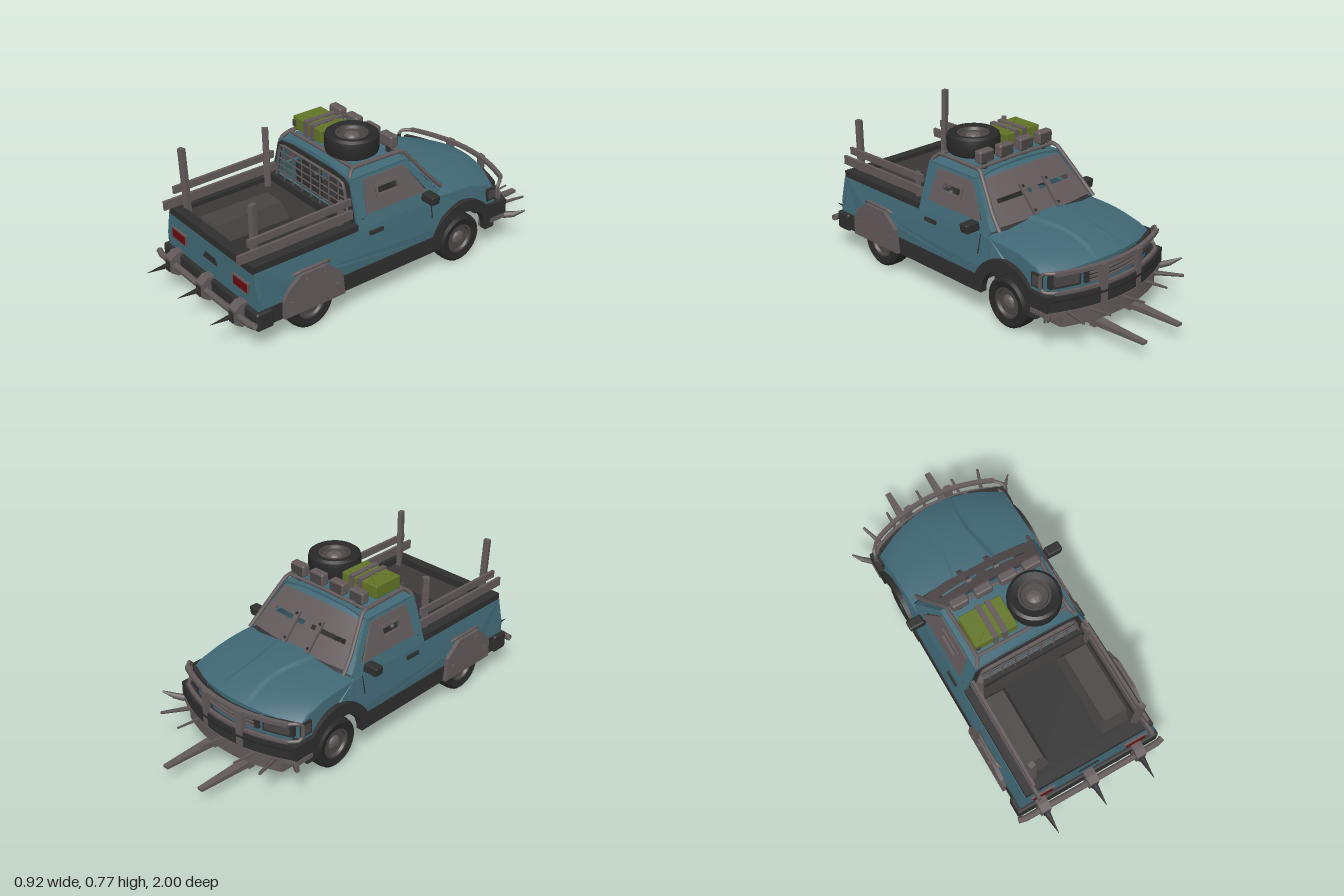
import * as THREE from 'three';
import { toCreasedNormals } from 'three/addons/utils/BufferGeometryUtils.js';
import { RoundedBoxGeometry } from 'three/addons/geometries/RoundedBoxGeometry.js';

const V = (x, y, z) => new THREE.Vector3(x, y, z);
const lerp = THREE.MathUtils.lerp;
const mat = (name, color) => new THREE.MeshStandardMaterial({ name, color, side: THREE.DoubleSide });

export function createModel() {
  const root = new THREE.Group();
  root.name = 'armouredPickup';
  const teal = mat('tealPaint', 0x406875), steel = mat('scrapSteel', 0x625959), dark = mat('darkTrim', 0x2e2e2e);
  const rubber = mat('rubber', 0x282828), red = mat('tailRed', 0x680a0e), green = mat('canGreen', 0x627426), liner = mat('greyLiner', 0x494444);

  const add = (name, geo, m, x = 0, y = 0, z = 0, parent = root) => {
    const mesh = new THREE.Mesh(geo, m);
    mesh.name = name;
    mesh.position.set(x, y, z);
    parent.add(mesh);
    return mesh;
  };
  const box = (name, m, w, h, d, x, y, z, p) => add(name, new THREE.BoxGeometry(w, h, d), m, x, y, z, p);
  // straight bar between two points
  const beam = (name, m, a, b, w, h) => box(name, m, w, h, a.distanceTo(b), (a.x + b.x) / 2, (a.y + b.y) / 2, (a.z + b.z) / 2).lookAt(b);
  const tube = (name, m, pts, r) => add(name, new THREE.TubeGeometry(new THREE.CatmullRomCurve3(pts, false, 'catmullrom', 0.2), 24, r, 8), m);
  // tapered spike from a to b
  const spike = (name, m, a, b, r, tip = 0.35) => {
    const c = add(name, new THREE.CylinderGeometry(r * tip, r, a.distanceTo(b), 4), m, (a.x + b.x) / 2, (a.y + b.y) / 2, (a.z + b.z) / 2);
    c.quaternion.setFromUnitVectors(V(0, 1, 0), b.clone().sub(a).normalize());
  };
  const move = (geo, f) => {
    const p = geo.attributes.position, v = V(0, 0, 0);
    for (let i = 0; i < p.count; i++) { v.fromBufferAttribute(p, i); f(v); p.setXYZ(i, v.x, v.y, v.z); }
    geo.computeVertexNormals();
    return geo;
  };
  const grid = (nu, nv, f) => move(new THREE.PlaneGeometry(1, 1, nu, nv), v => f(v.x + 0.5, v.y + 0.5, v));
  const poly = pts => new THREE.Shape(pts.map(p => new THREE.Vector2(p[0], p[1])));
  const hole = (shape, pts) => { shape.holes.push(new THREE.Path(pts.map(p => new THREE.Vector2(p[0], p[1])))); return shape; };
  const rect = (a, b, c, d) => [[a, b], [c, b], [c, d], [a, d]];
  const slab = (shape, depth) => new THREE.ExtrudeGeometry(shape, { depth, bevelEnabled: false, curveSegments: 16 });

  // half-width of the body at a height
  const bodyX = y => y < 0.27 ? 0.37 : y < 0.39 ? lerp(0.37, 0.345, (y - 0.27) / 0.12) : lerp(0.345, 0.265, (y - 0.39) / 0.25);
  // side panel drawn in (-z, y), following the body width, on both sides
  const sidePanel = (name, shape, m, depth, out = 0) => [1, -1].forEach(s => {
    const g = slab(shape, depth).rotateY(Math.PI / 2);
    add(name, move(g, v => { v.x = s * (bodyX(v.y) + out - depth + v.x); }), m);
  });
  // box bent to the curve of the nose
  const bent = (name, m, w, h, d, x, y, z) => add(name, toCreasedNormals(move(
    new THREE.BoxGeometry(w, h, d, 16).translate(x, y, z), v => { v.z += 0.7 * v.x * v.x; }), 0.6), m);

  // lower body sides with wheel openings
  const R = 0.16, a0 = Math.asin(0.07 / R), side = new THREE.Shape();
  side.moveTo(-0.81, 0.2);
  [-0.52, 0.385].forEach(u => {
    side.lineTo(u - R * Math.cos(a0), 0.2);
    side.absarc(u, 0.13, R, Math.PI - a0, a0, true);
  });
  [[0.605, 0.2], [0.605, 0.33], [0.55, 0.36], [0.45, 0.388], [0.25, 0.4], [-0.235, 0.4], [-0.235, 0.39], [-0.81, 0.39]].forEach(p => side.lineTo(p[0], p[1]));
  sidePanel('bodySide', side, teal, 0.015);

  // hood with raised, creased centre, and nose
  const noseZ = x => -0.7 + 0.8 * x * x;
  const hoodY = (x, v) => {
    const c = 0.09 + 0.02 * Math.cos(v * 5);
    return 0.437 - 0.3 * x * x - 0.07 * v ** 3 + 0.012 * THREE.MathUtils.clamp((c + 0.014 - Math.abs(x)) / 0.014, 0, 1) * (1 - v ** 4);
  };
  add('hood', grid(110, 16, (u, t, v) => { const x = (u - 0.5) * 0.692; v.set(x, hoodY(x, t), lerp(-0.22, noseZ(x), t)); }), teal);
  add('nose', grid(24, 4, (u, t, v) => { const x = (u - 0.5) * lerp(0.74, 0.692, t); v.set(x, lerp(0.19, hoodY(x, 1), t), noseZ(x)); }), teal);

  // cab sides, window armour with vision slit
  sidePanel('cabSide', hole(poly([[-0.235, 0.39], [0.25, 0.4], [0.25, 0.43], [0.1, 0.622], [-0.225, 0.622]]),
    [[-0.17, 0.45], [0.19, 0.45], [0.078, 0.605], [-0.16, 0.605]]), teal, 0.015);
  sidePanel('windowArmour', hole(poly([[-0.178, 0.452], [0.18, 0.452], [0.077, 0.605], [-0.162, 0.605]]), rect(-0.095, 0.52, 0.02, 0.555)), steel, 0.008, 0.006);
  sidePanel('slitFrame', hole(poly(rect(-0.11, 0.508, 0.035, 0.567)), rect(-0.095, 0.52, 0.02, 0.555)), steel, 0.008, 0.012);
  sidePanel('doorHandle', poly(rect(-0.18, 0.355, -0.1, 0.372)), dark, 0.01, 0.008);
  sidePanel('doorSeamRear', poly(rect(-0.204, 0.21, -0.199, 0.44)), dark, 0.004, 0.001);
  sidePanel('doorSeamFront', poly(rect(0.195, 0.31, 0.2, 0.4)), dark, 0.004, 0.001);

  // crowned roof
  add('roof', toCreasedNormals(move(new THREE.BoxGeometry(0.545, 0.024, 0.325, 16, 1, 1).translate(0, 0.638, 0.067), v => { v.y -= 0.35 * v.x * v.x; }), 0.6), teal);
  box('headliner', dark, 0.5, 0.01, 0.29, 0, 0.612, 0.075);

  // bowed windshield frame and armour; x in -1..1 across, t from base to roof
  const shield = (name, m, x0, x1, t0, t1, lift) => add(name, grid(12, 2, (u, k, v) => {
    const x = lerp(x0, x1, u), t = lerp(t0, t1, k);
    v.set(x * lerp(0.335, 0.268, t), lerp(0.425, 0.64, t) - 0.02 * x * x * t + lift * 0.63, lerp(-0.26, -0.085, t) - 0.03 * (1 - x * x) * (1 - 0.5 * t) - lift * 0.77);
  }), m);
  shield('windshieldHeader', teal, -1, 1, 0.92, 1, 0);
  shield('windshieldSill', dark, -1, 1, -0.03, 0.06, 0);
  shield('lowerWindshieldArmour', steel, -0.93, 0.93, 0.04, 0.44, 0.006);
  shield('upperWindshieldArmour', steel, -0.93, 0.93, 0.52, 0.92, 0.006);
  shield('armourMiddle', steel, -0.08, 0.08, 0.44, 0.52, 0.006);
  [-1, 1].forEach(s => {
    shield('windshieldPillar', teal, s, s * 0.9, 0, 1, 0);
    shield('armourEdge', steel, s * 0.93, s * 0.76, 0.44, 0.52, 0.006);
    beam('windshieldStrap', steel, V(s * 0.075, 0.445, -0.292), V(s * 0.075, 0.57, -0.182), 0.026, 0.014);
    [0.46, 0.555].forEach(y => box('strapBolt', dark, 0.012, 0.012, 0.012, s * 0.075, y + 0.006, -0.285 + (y - 0.455) * 0.88));
  });

  // cab rear wall and window cage
  const opening = [[-0.285, 0.425], [0.285, 0.425], [0.24, 0.605], [-0.24, 0.605]];
  add('cabBack', slab(hole(poly([[-0.345, 0.2], [0.345, 0.2], [0.345, 0.39], [0.271, 0.62], [0.14, 0.64], [-0.14, 0.64], [-0.271, 0.62], [-0.345, 0.39]]), opening), 0.012), teal, 0, 0, 0.222);
  add('rearWindowSeal', slab(hole(poly([[-0.315, 0.42], [0.315, 0.42], [0.272, 0.6], [0.245, 0.62], [0.15, 0.632], [-0.15, 0.632], [-0.245, 0.62], [-0.272, 0.6]]), opening), 0.008), dark, 0, 0, 0.233);
  tube('windowCageFrame', steel, [V(-0.28, 0.43, 0.247), V(-0.25, 0.575, 0.247), V(-0.22, 0.604, 0.247), V(0.22, 0.604, 0.247), V(0.25, 0.575, 0.247), V(0.28, 0.43, 0.247)], 0.007);
  [0.455, 0.49, 0.525, 0.565].forEach(y => box('cageBar', steel, 0.66 - y * 0.28, 0.005, 0.005, 0, y, 0.245));
  for (let i = -3; i <= 3; i++) box('cageUpright', steel, 0.005, 0.175, 0.005, i * 0.07, 0.51, 0.249);

  // cab interior
  box('cabFloor', dark, 0.68, 0.02, 0.48, 0, 0.2, 0);
  box('dashboard', dark, 0.6, 0.12, 0.12, 0, 0.365, -0.19);
  box('interiorMirror', teal, 0.105, 0.028, 0.008, 0, 0.587, -0.05);
  [-0.16, 0.16].forEach(x => {
    add('seatCushion', new RoundedBoxGeometry(0.18, 0.08, 0.2, 2, 0.02), dark, x, 0.29, 0.03);
    add('seatBack', new RoundedBoxGeometry(0.17, 0.22, 0.05, 2, 0.02), dark, x, 0.38, 0.14);
    add('headRest', new RoundedBoxGeometry(0.08, 0.06, 0.035, 2, 0.014), dark, x, 0.53, 0.15);
  });
  add('steeringWheel', new THREE.TorusGeometry(0.05, 0.007, 6, 20), dark, -0.155, 0.43, -0.1).rotation.x = 0.4;

  // cargo bed
  box('bedFloor', dark, 0.66, 0.02, 0.57, 0, 0.24, 0.52);
  add('bedRail', slab(hole(poly(rect(-0.342, -0.815, 0.342, -0.237)), rect(-0.29, -0.765, 0.29, -0.265)), 0.037), dark, 0, 0.386, 0).rotation.x = -Math.PI / 2;
  [-1, 1].forEach(s => {
    box('bedLiner', liner, 0.01, 0.16, 0.51, s * 0.295, 0.32, 0.515);
    add('bedWheelWell', move(new THREE.BoxGeometry(0.15, 0.1, 0.44), v => { if (v.y > 0) { v.z *= 0.85; if (v.x * s < 0) v.x += s * 0.03; } }), liner, s * 0.215, 0.29, 0.49);
  });
  [0.26, 0.77].forEach(z => box('bedEndLiner', liner, 0.6, 0.16, 0.01, 0, 0.32, z));

  // tailgate with lamps and handle
  add('tailgate', slab(poly([[-0.37, 0.2], [0.37, 0.2], [0.37, 0.27], [0.345, 0.39], [-0.345, 0.39], [-0.37, 0.27]]), 0.02), teal, 0, 0, 0.795);
  [-1, 1].forEach(s => {
    add('tailLampFrame', slab(poly([[-0.055, -0.028], [0.055, -0.028], [0.062, 0.028], [-0.062, 0.028]]), 0.01), steel, s * 0.253, 0.302, 0.815);
    box('tailLamp', red, 0.104, 0.042, 0.008, s * 0.253, 0.302, 0.824);
  });
  add('tailgateHandle', slab(poly([[-0.058, -0.017], [0.058, -0.017], [0.04, 0.017], [-0.04, 0.017]]), 0.005), dark, 0, 0.307, 0.813);

  // rear bumper, ram tube, slotted brackets and spikes
  add('rearBumper', new RoundedBoxGeometry(0.78, 0.092, 0.09, 2, 0.012), dark, 0, 0.165, 0.79);
  tube('rearRamTube', steel, [V(-0.4, 0.168, 0.852), V(-0.37, 0.165, 0.86), V(0, 0.163, 0.862), V(0.37, 0.165, 0.86), V(0.4, 0.168, 0.852)], 0.016);
  const bracket = poly([[-0.81, 0.225], [-0.85, 0.225], [-0.885, 0.2], [-0.885, 0.13], [-0.85, 0.105], [-0.81, 0.105]]);
  [-0.265, 0, 0.265].forEach(x => {
    add('ramBracket', slab(bracket, 0.052).rotateY(Math.PI / 2), steel, x - 0.026, 0, 0);
    box('spikeSocket', dark, 0.03, 0.052, 0.012, x, 0.162, 0.886);
    spike('rearSpike', dark, V(x, 0.165, 0.89), V(x, 0.165, 1), 0.016, 0.05);
  });

  // sills, wheel arches and rear wheel armour
  const arch = new THREE.Shape();
  arch.absarc(0, 0, 0.207, 0, Math.PI, false);
  arch.absarc(0, 0, 0.15, Math.PI, 0, true);
  const plate = poly([[-0.69, 0.13], [-0.69, 0.22], [-0.665, 0.265], [-0.62, 0.3], [-0.595, 0.322], [-0.45, 0.322], [-0.42, 0.295], [-0.365, 0.25], [-0.352, 0.13]]);
  [-1, 1].forEach(s => {
    box('sill', dark, 0.04, 0.085, 0.56, s * 0.354, 0.168, 0.08);
    box('rearQuarterTrim', dark, 0.04, 0.085, 0.13, s * 0.354, 0.168, 0.745);
    box('frontQuarterTrim', dark, 0.05, 0.08, 0.08, s * 0.345, 0.22, -0.585);
    add('frontWheelArch', slab(arch, 0.035).rotateY(Math.PI / 2), dark, s * 0.3615 - 0.0175, 0.13, -0.385);
    add('rearWheelArmour', slab(plate, 0.02).rotateY(Math.PI / 2), steel, s * 0.382 - 0.01, 0, 0);
    tube('armourTube', steel, [V(s * 0.36, 0.315, 0.62), V(s * 0.372, 0.33, 0.6), V(s * 0.376, 0.332, 0.52), V(s * 0.372, 0.33, 0.44), V(s * 0.36, 0.315, 0.42)], 0.008);
    [[0.65, 0.2], [0.4, 0.2], [0.57, 0.29], [0.47, 0.29]].forEach(p => box('armourBolt', steel, 0.012, 0.014, 0.014, s * 0.394, p[1], p[0]));
    // mirrors
    beam('mirrorArm', dark, V(s * 0.32, 0.42, -0.15), V(s * 0.37, 0.435, -0.16), 0.014, 0.014);
    add('mirror', move(new RoundedBoxGeometry(0.08, 0.046, 0.05, 2, 0.008), v => { v.x += s * v.y * 0.15; }), dark, s * 0.379, 0.438, -0.165);
    // cage tubes beside the windshield
    tube('cageTube', steel, [V(s * 0.31, 0.43, -0.29), V(s * 0.295, 0.5, -0.225), V(s * 0.25, 0.652, -0.1), V(s * 0.245, 0.658, -0.04), V(s * 0.24, 0.658, 0.19), V(s * 0.262, 0.625, 0.225)], 0.01);
  });
  [-0.075, 0.19].forEach(z => tube('roofRackBar', steel, [V(-0.24, 0.658, z), V(0, 0.662, z), V(0.24, 0.658, z)], 0.009));

  // front bumper, grille, headlamps and guard
  bent('frontBumper', dark, 0.74, 0.075, 0.045, 0, 0.222, -0.74);
  bent('bumperGroove', rubber, 0.73, 0.012, 0.045, 0, 0.238, -0.745);
  bent('grillePanel', dark, 0.34, 0.075, 0.02, 0, 0.308, -0.7);
  for (let i = 0; i < 4; i++) bent('grilleSlat', steel, 0.3, 0.009, 0.02, 0, 0.28 + i * 0.019, -0.708);
  bent('guardTopRail', steel, 0.68, 0.018, 0.022, 0, 0.362, -0.746);
  bent('guardLowRail', steel, 0.68, 0.014, 0.018, 0, 0.268, -0.746);
  bent('lowerApron', steel, 0.62, 0.06, 0.02, 0, 0.133, -0.745);
  bent('ramRail', steel, 0.77, 0.022, 0.03, 0, 0.172, -0.75);
  [-1, 1].forEach(s => {
    bent('headlampFrame', dark, 0.14, 0.075, 0.02, s * 0.262, 0.31, -0.7);
    bent('headlampLens', liner, 0.115, 0.05, 0.02, s * 0.262, 0.31, -0.706);
    box('sideMarkerFrame', dark, 0.012, 0.066, 0.062, s * 0.361, 0.31, -0.58);
    box('sideMarker', liner, 0.012, 0.046, 0.044, s * 0.364, 0.31, -0.58);
    bent('guardUpright', steel, 0.035, 0.2, 0.025, s * 0.115, 0.27, -0.754);
    tube('guardSide', steel, [V(s * 0.33, 0.362, -0.67), V(s * 0.365, 0.36, -0.63), V(s * 0.372, 0.34, -0.61), V(s * 0.372, 0.285, -0.61), V(s * 0.365, 0.268, -0.63), V(s * 0.33, 0.268, -0.67)], 0.009);
    box('bumperEnd', dark, 0.035, 0.075, 0.11, s * 0.367, 0.222, -0.61);
    box('bumperMount', dark, 0.05, 0.05, 0.08, s * 0.17, 0.22, -0.69);
    box('ramRailEnd', steel, 0.02, 0.022, 0.09, s * 0.378, 0.172, -0.61);
    box('apronEnd', steel, 0.02, 0.06, 0.11, s * 0.305, 0.133, -0.625);
    // lifting forks and nose spikes
    add('fork', move(new THREE.BoxGeometry(0.052, 0.028, 0.32), v => { if (v.z < 0) { v.x *= 0.55; v.y *= 0.5; } }), steel, s * 0.118, 0.077, -0.84);
    box('forkMount', steel, 0.055, 0.062, 0.03, s * 0.118, 0.087, -0.715);
    spike('noseSpike', steel, V(s * 0.19, 0.172, -0.73), V(s * 0.19, 0.185, -0.86), 0.01, 0.6);
    spike('noseSpike', steel, V(s * 0.285, 0.172, -0.7), V(s * 0.335, 0.19, -0.84), 0.012, 0.6);
    spike('cornerSpike', steel, V(s * 0.375, 0.168, -0.66), V(s * 0.42, 0.178, -0.695), 0.018, 0.8);
    spike('cornerSpikeTip', steel, V(s * 0.415, 0.177, -0.69), V(s * 0.455, 0.202, -0.73), 0.0145, 0.3);
  });
  spike('noseSpike', steel, V(0, 0.172, -0.75), V(0, 0.19, -0.89), 0.01, 0.6);

  // stake posts and side boards
  [[-0.272, -0.288, 0.755, 0.725], [0.278, 0.279, 0.76, 0.69], [-0.28, -0.283, 0.3, 0.69]].forEach(([x0, x1, z, h]) =>
    beam('stakePost', steel, V(x0, 0.38, z), V(x1, h, z + 0.004), 0.024, 0.03));
  [-1, 1].forEach(s => {
    beam('lowerBoard', steel, V(s * 0.3, 0.458, 0.865), V(s * 0.3, 0.462, 0.24), 0.014, 0.045);
    beam('upperBoard', steel, V(s * 0.3, 0.522, 0.81), V(s * 0.3, 0.53, 0.25), 0.014, 0.036);
    box('boardBracket', steel, 0.014, 0.16, 0.024, s * 0.289, 0.47, 0.3);
  });

  // wheels, axis along x
  const wheel = (name, r, w) => {
    const g = new THREE.Group();
    g.name = name;
    const lathe = (part, m, pts) => add(part, toCreasedNormals(new THREE.LatheGeometry(pts.map(p => new THREE.Vector2(p[0] * r, p[1] * w)), 32), 0.6), m, 0, 0, 0, g);
    lathe('tyre', rubber, [[0.58, -0.42], [0.86, -0.5], [0.97, -0.4], [1, -0.22], [1, 0.22], [0.97, 0.4], [0.86, 0.5], [0.58, 0.42]]);
    lathe('rim', liner, [[0.28, 0.28], [0.48, 0.3], [0.53, 0.43], [0.6, 0.43], [0.58, -0.4], [0, -0.35]]);
    lathe('hubCap', steel, [[0, 0.4], [0.18, 0.4], [0.24, 0.36], [0.3, 0.26]]);
    root.add(g);
    return g;
  };
  [0.52, -0.385].forEach(z => {
    [-1, 1].forEach(s => {
      const w = wheel('wheel', 0.125, 0.1);
      w.position.set(s * 0.315, 0.125, z);
      w.rotation.z = -s * Math.PI / 2;
    });
    add('axle', new THREE.CylinderGeometry(0.018, 0.018, 0.56, 10).rotateZ(Math.PI / 2), dark, 0, 0.125, z);
    add('differential', new THREE.SphereGeometry(0.05, 14, 10), dark, 0, 0.125, z);
  });
  wheel('spareWheel', 0.128, 0.1).position.set(0.115, 0.717, 0.095);

  // fuel can with straps
  add('fuelCan', new RoundedBoxGeometry(0.22, 0.066, 0.165, 1, 0.006), green, -0.126, 0.703, 0.09);
  [-1, 1].forEach(s => beam('canRib', green, V(-0.21, 0.737, 0.09 - s * 0.06), V(-0.04, 0.737, 0.09 + s * 0.06), 0.014, 0.006));
  box('canSpout', liner, 0.022, 0.03, 0.03, -0.222, 0.702, 0.164);
  [-0.132, -0.083].forEach(x => box('canStrap', steel, 0.026, 0.08, 0.178, x, 0.704, 0.09));

  // roof lamps
  [-0.19, -0.065, 0.065, 0.19].forEach(x => {
    add('roofLamp', new RoundedBoxGeometry(0.088, 0.06, 0.045, 2, 0.01), steel, x, 0.705, -0.062);
    box('roofLampLens', liner, 0.07, 0.042, 0.006, x, 0.705, -0.085);
    box('roofLampFoot', dark, 0.02, 0.04, 0.02, x, 0.662, -0.062);
  });

  // underbody: ladder frame, engine block, driveline, exhaust
  box('underTray', dark, 0.5, 0.02, 1.34, 0, 0.2, 0.09);
  box('engineBay', dark, 0.46, 0.18, 0.36, 0, 0.28, -0.43);
  [-1, 1].forEach(s => box('frameRail', dark, 0.035, 0.045, 1.42, s * 0.17, 0.165, 0.06));
  [-0.6, -0.22, 0, 0.25, 0.68].forEach(z => box('crossMember', dark, 0.52, 0.03, 0.04, 0, 0.165, z));
  add('driveShaft', new THREE.CylinderGeometry(0.014, 0.014, 0.9, 10).rotateX(Math.PI / 2), dark, 0, 0.135, 0.07);
  add('gearbox', new RoundedBoxGeometry(0.13, 0.09, 0.26, 2, 0.02), dark, 0, 0.155, -0.15);
  tube('exhaustPipe', dark, [V(0.1, 0.14, -0.3), V(0.1, 0.135, 0.2), V(0.17, 0.11, 0.62), V(0.17, 0.1, 0.83)], 0.014);
  add('muffler', new THREE.CylinderGeometry(0.04, 0.04, 0.18, 14).rotateX(Math.PI / 2), dark, 0.165, 0.108, 0.72);
  box('fuelTank', dark, 0.16, 0.06, 0.2, -0.06, 0.12, 0.72);
  return root;
}
